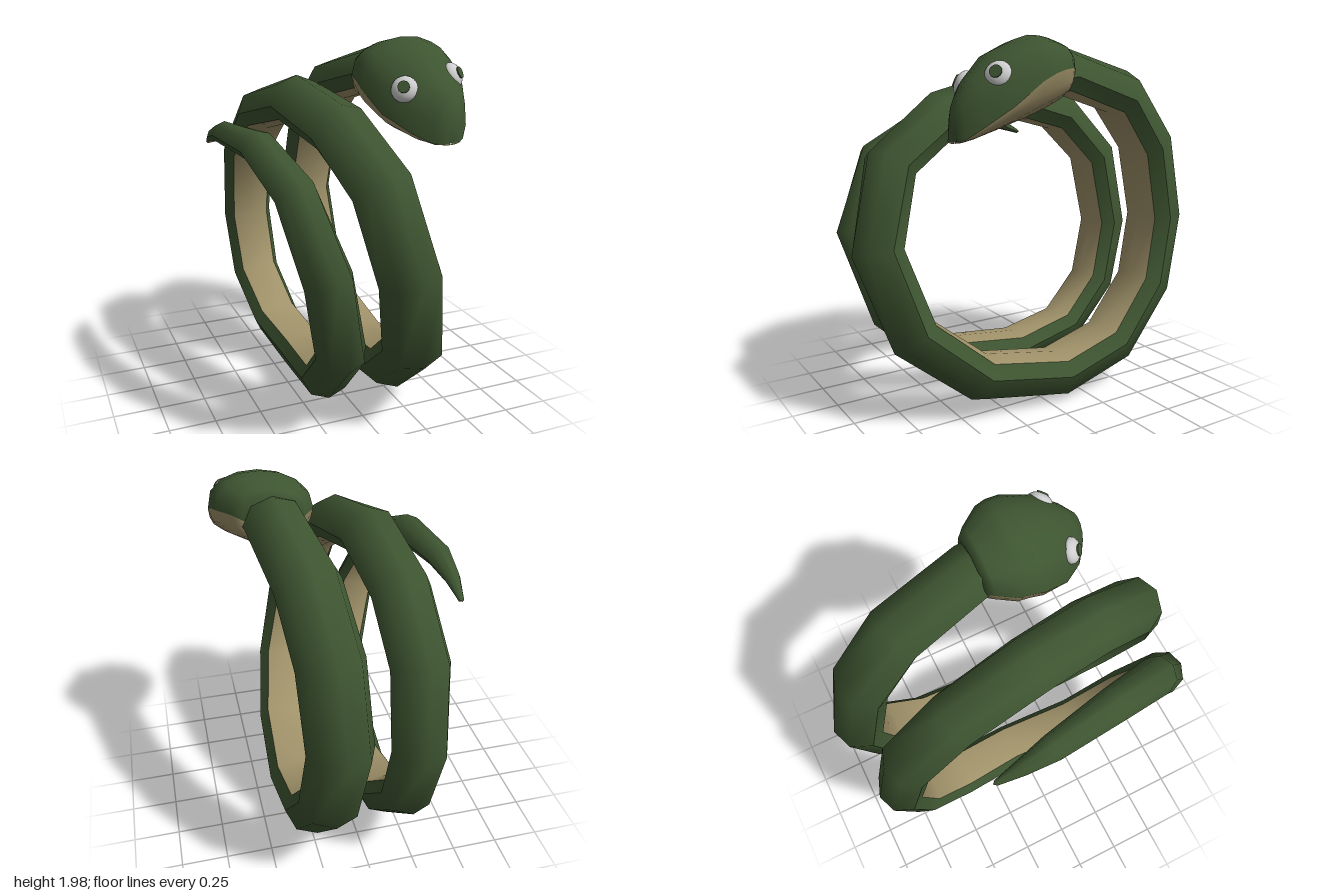
import * as THREE from 'three';

const green = new THREE.MeshStandardMaterial({ color: 0x3e5531 });
green.name = 'scaleGreen';
const tan = new THREE.MeshStandardMaterial({ color: 0xa2946b });
tan.name = 'bellyTan';
const white = new THREE.MeshStandardMaterial({ color: 0xcfcfcf });
white.name = 'eyeWhite';

// Skin between columns first..last of a list of equal rings (counter-clockwise about the path)
function loft(name, rings, first, last, material) {
  const pos = [], index = [], w = last - first + 1;
  for (const ring of rings)
    for (let j = first; j <= last; j++) pos.push(...ring[j % ring.length].toArray());
  for (let i = 0; i < rings.length - 1; i++)
    for (let j = 0; j < w - 1; j++) {
      const a = i * w + j, d = a + w;
      index.push(a, a + 1, d + 1, a, d + 1, d);
    }
  const geo = new THREE.BufferGeometry();
  geo.setAttribute('position', new THREE.Float32BufferAttribute(pos, 3));
  geo.setIndex(index);
  geo.computeVertexNormals();
  const mesh = new THREE.Mesh(geo, material);
  mesh.name = name;
  return mesh;
}

// Body stations from neck to tail: x, outer y, outer z, half width
const STATIONS = [
  [0.34, 1.91, 0.06, 0.15], [0.325, 1.93, -0.05, 0.155], [0.25, 1.79, -0.57, 0.167],
  [0.205, 1.46, -0.87, 0.17], [0.185, 0.95, -1.0, 0.17], [0.215, 0.49, -0.89, 0.168],
  [0.245, 0.13, -0.57, 0.166], [0.262, 0.005, -0.12, 0.165], [0.24, 0.1, 0.45, 0.165],
  [0.175, 0.42, 0.84, 0.165], [0.07, 0.92, 1.0, 0.164], [-0.025, 1.4, 0.86, 0.162],
  [-0.105, 1.68, 0.48, 0.16], [-0.18, 1.79, 0.02, 0.158], [-0.225, 1.65, -0.5, 0.156],
  [-0.245, 1.33, -0.825, 0.153], [-0.235, 0.82, -0.925, 0.148], [-0.215, 0.4, -0.81, 0.145],
  [-0.17, 0.13, -0.51, 0.142], [-0.135, 0.05, -0.08, 0.138], [-0.165, 0.11, 0.43, 0.135],
  [-0.21, 0.44, 0.785, 0.131], [-0.33, 0.95, 0.93, 0.124], [-0.425, 1.38, 0.73, 0.108],
  [-0.5, 1.565, 0.37, 0.094], [-0.558, 1.56, -0.06, 0.072], [-0.57, 1.49, -0.24, 0.044],
  [-0.57, 1.41, -0.37, 0.016], [-0.57, 1.4, -0.38, 0.001],
];

// Cross-section: outward and sideways, in half widths; the belly is flattened
const SECTION = [[-0.04, -1], [0.66, -0.7], [0.92, 0], [0.66, 0.7], [-0.04, 1], [-0.5, 0.72], [-0.62, 0], [-0.5, -0.72]];

function bodyRings() {
  const radials = STATIONS.map(([, y, z]) => new THREE.Vector3(0, y - 0.93, z).normalize());
  const centres = STATIONS.map(([x, y, z, r], i) =>
    new THREE.Vector3(x, y, z).addScaledVector(radials[i], -0.92 * r));
  return centres.map((c, i) => {
    const before = centres[Math.max(i - 1, 0)], after = centres[Math.min(i + 1, centres.length - 1)];
    const t = after.clone().sub(before).normalize();
    const n = radials[i].clone().addScaledVector(t, -radials[i].dot(t)).normalize();
    const b = t.clone().cross(n), r = STATIONS[i][3];
    return SECTION.map(([u, v]) => c.clone().addScaledVector(n, u * r).addScaledVector(b, v * r));
  });
}

// Head sections: z, centre x, top y, jaw line y, bottom y, half width
const HEAD = [
  [-0.045, 0.33, 1.8, 1.79, 1.78, 0.01], [-0.04, 0.33, 1.925, 1.8, 1.67, 0.15],
  [0.0, 0.335, 1.945, 1.81, 1.65, 0.185], [0.1, 0.345, 1.97, 1.8, 1.615, 0.25],
  [0.16, 0.352, 1.982, 1.785, 1.595, 0.258], [0.24, 0.355, 1.96, 1.75, 1.57, 0.266],
  [0.39, 0.37, 1.9, 1.64, 1.53, 0.235], [0.52, 0.39, 1.785, 1.55, 1.495, 0.155],
  [0.585, 0.405, 1.7, 1.5, 1.485, 0.085], [0.612, 0.412, 1.58, 1.495, 1.485, 0.045],
  [0.6, 0.412, 1.492, 1.489, 1.485, 0.004],
];

function headRings() {
  const half = 8;
  return HEAD.map(([z, cx, top, jaw, bottom, w]) =>
    Array.from({ length: half * 2 }, (_, k) => {
      const a = (k / half) * Math.PI, s = Math.sin(a);
      const x = w * Math.cos(a);
      const y = s >= 0 ? jaw + (top - jaw) * Math.pow(s, 0.8) : jaw + (jaw - bottom) * s;
      return new THREE.Vector3(cx + x, y + 0.08 * x, z); // slight roll
    }));
}

// Flattened eyeball with a thin pupil disc, looking along dir
function makeEye(name, position, dir) {
  const eye = new THREE.Group();
  eye.name = name;
  const ball = new THREE.Mesh(new THREE.SphereGeometry(0.068, 16, 12), white);
  ball.name = 'eyeball';
  ball.scale.z = 0.65;
  const pupil = new THREE.Mesh(new THREE.CylinderGeometry(0.031, 0.031, 0.009, 12), green);
  pupil.name = 'pupil';
  pupil.rotation.x = Math.PI / 2;
  pupil.position.z = 0.0415;
  eye.add(ball, pupil);
  eye.position.set(...position);
  eye.quaternion.setFromUnitVectors(new THREE.Vector3(0, 0, 1), new THREE.Vector3(...dir).normalize());
  return eye;
}

export function createModel() {
  const snake = new THREE.Group();
  snake.name = 'coiledSnake';

  // Coiled body: rounded back, bevelled flanks, flat belly
  const rings = bodyRings();
  const body = new THREE.Group();
  body.name = 'body';
  body.add(
    loft('back', rings, 0, 4, green),
    loft('flankA', rings, 4, 5, green),
    loft('flankB', rings, 7, 8, green),
    loft('belly', rings, 5, 7, tan),
  );

  // Head with pale underside
  const headSections = headRings();
  const head = new THREE.Group();
  head.name = 'head';
  head.add(
    loft('skull', headSections, 0, 8, green),
    loft('jaw', headSections, 8, 16, tan),
    makeEye('rightEye', [0.226, 1.748, 0.449], [-0.52, 0.4, 0.75]),
    makeEye('leftEye', [0.514, 1.8, 0.422], [0.58, 0.42, 0.7]),
  );

  snake.add(body, head);
  return snake;
}
